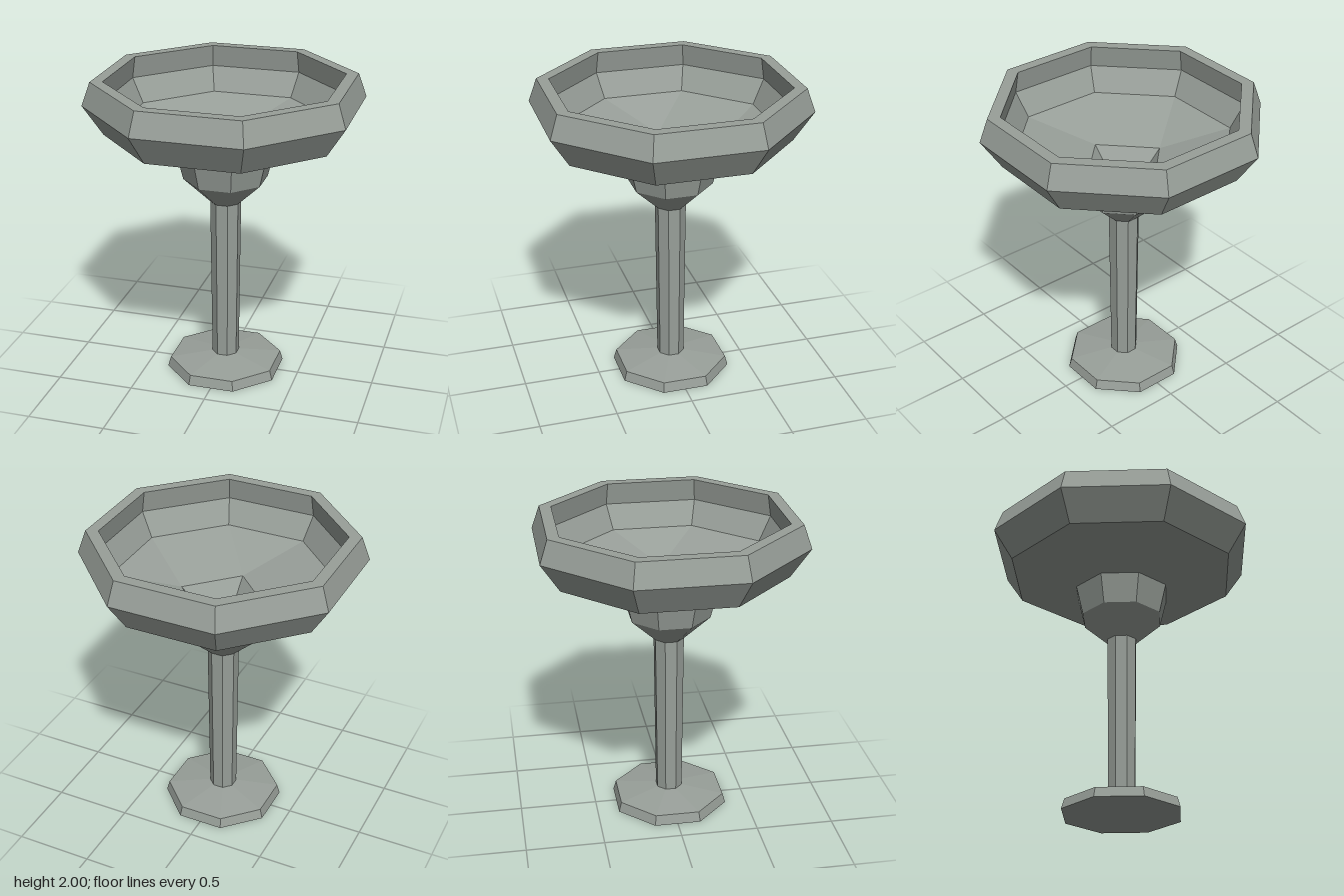
import * as THREE from 'three';

const SIDES = 8;
const TURN = Math.PI / 8; // flats face the main axes

// Faceted octagonal ring surface from [flat distance, height] pairs
function facetedLathe(profile) {
  const pts = profile.map(([a, y]) => new THREE.Vector2(a / Math.cos(TURN), y));
  const g = new THREE.LatheGeometry(pts, SIDES, TURN).toNonIndexed();
  g.computeVertexNormals();
  return g;
}

// Bowl floor: octagon narrowing to a four-cornered well
function wellGeometry() {
  const pos = [];
  const point = (r, angle, y) => [r * Math.sin(angle), y, r * Math.cos(angle)];
  const tri = (a, b, c) => pos.push(...a, ...b, ...c);
  const quad = (a, b, c, d) => { tri(a, b, c); tri(a, c, d); };
  const rim = (k) => point(0.64 / Math.cos(TURN), TURN + (k * Math.PI) / 4, 1.7);
  const mid = (k) => point(0.29, (k * Math.PI) / 2, 1.56);
  const low = (k) => point(0.1, (k * Math.PI) / 2, 1.37);
  for (let k = 0; k < 4; k++) {
    tri(rim(2 * k - 1), rim(2 * k), mid(k));
    quad(rim(2 * k), rim(2 * k + 1), mid(k + 1), mid(k));
    quad(mid(k), mid(k + 1), low(k + 1), low(k));
  }
  quad(low(0), low(1), low(2), low(3));
  const g = new THREE.BufferGeometry();
  g.setAttribute('position', new THREE.Float32BufferAttribute(pos, 3));
  g.computeVertexNormals();
  return g;
}

export function createModel() {
  const group = new THREE.Group();
  group.name = 'goblet';
  const metal = new THREE.MeshStandardMaterial({ color: 0x989f99 });
  metal.name = 'grey metal';
  const add = (name, geometry) => {
    const mesh = new THREE.Mesh(geometry, metal);
    mesh.name = name;
    group.add(mesh);
  };

  add('foot', facetedLathe([[0, 0], [0.36, 0], [0.343, 0.065], [0.082, 0.1]]));
  add('stem', facetedLathe([[0.082, 0.1], [0.092, 1.185]]));
  add('lowerCup', facetedLathe([[0.092, 1.185], [0.25, 1.345], [0.293, 1.535]]));
  // Outer wall, rim and inner wall
  add('bowl', facetedLathe([
    [0.293, 1.535], [0.703, 1.66], [0.82, 1.85], [0.77, 2],
    [0.697, 2], [0.72, 1.855], [0.64, 1.7],
  ]));
  add('bowlFloor', wellGeometry());
  return group;
}
